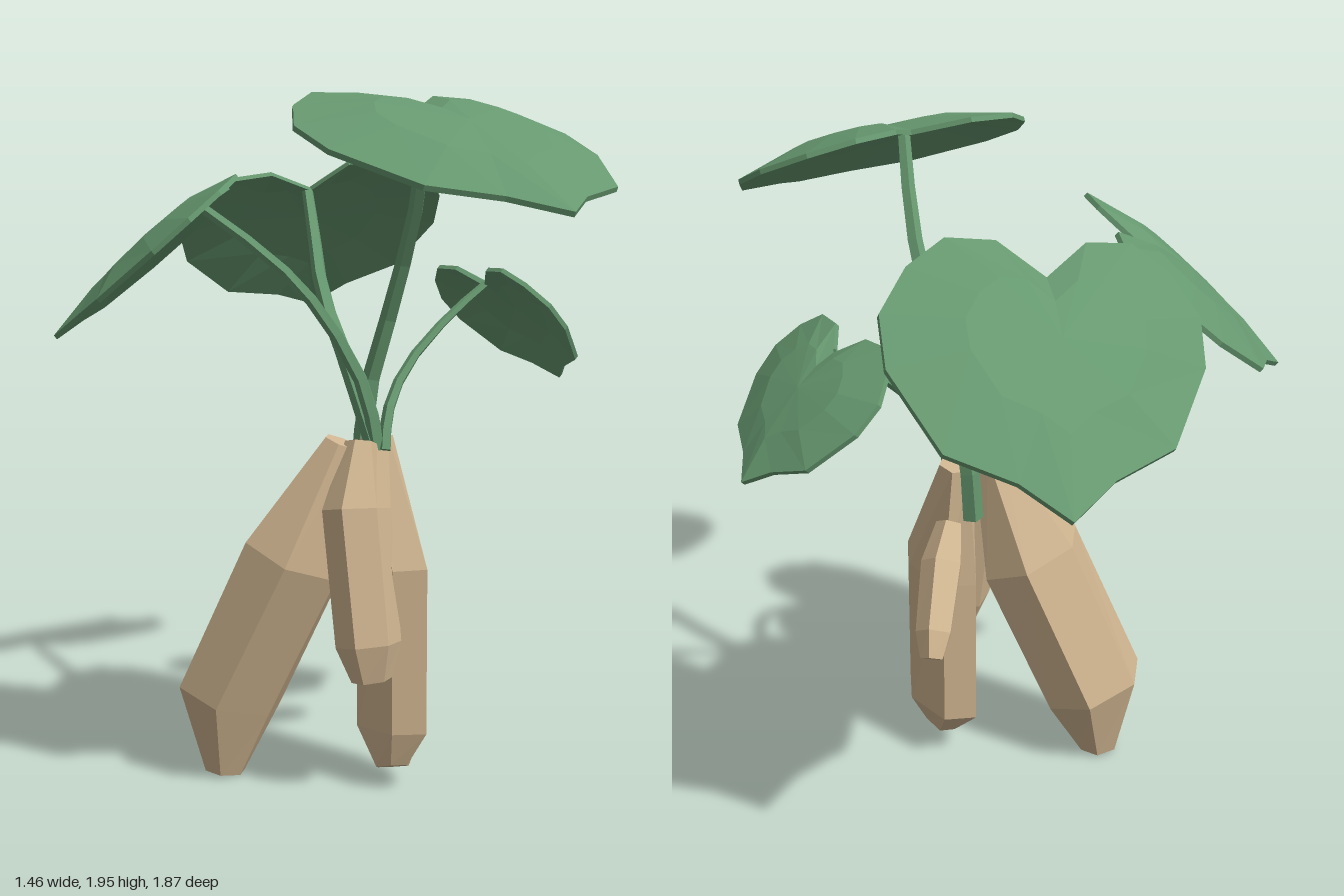
import * as THREE from 'three';

const leafGreen = new THREE.MeshStandardMaterial({ name: 'leaf green', color: 0x66986f, flatShading: true });
const tuberTan = new THREE.MeshStandardMaterial({ name: 'tuber tan', color: 0xcfb590, flatShading: true });

const V = (p) => new THREE.Vector3(...p);

function meshFrom(name, points, index, material) {
  const g = new THREE.BufferGeometry().setFromPoints(points);
  g.setIndex(index);
  const flat = g.toNonIndexed();
  flat.computeVertexNormals();
  const mesh = new THREE.Mesh(flat, material);
  mesh.name = name;
  return mesh;
}

// Faceted body through rings of [x, y, z, radiusAcross, radiusDeep], capped at both ends
function loft(name, rings, sides, material, turn = 0) {
  const centres = rings.map((r) => V(r.slice(0, 3)));
  const pts = [], idx = [], last = rings.length - 1;
  rings.forEach((r, k) => {
    const t = centres[Math.min(k + 1, last)].clone().sub(centres[Math.max(k - 1, 0)]).normalize();
    const u = new THREE.Vector3(1, 0, 0).addScaledVector(t, -t.x).normalize();
    const w = t.clone().cross(u);
    for (let i = 0; i < sides; i++) {
      const a = turn + (i / sides) * Math.PI * 2;
      pts.push(centres[k].clone()
        .addScaledVector(u, Math.cos(a) * r[3])
        .addScaledVector(w, Math.sin(a) * (r[4] ?? r[3])));
    }
  });
  for (let k = 0; k < last; k++) {
    for (let i = 0; i < sides; i++) {
      const j = (i + 1) % sides, a = k * sides, b = a + sides;
      idx.push(a + i, a + j, b + j, a + i, b + j, b + i);
    }
  }
  for (let i = 1; i < sides - 1; i++) {
    const e = last * sides;
    idx.push(0, i + 1, i, e, e + i, e + i + 1);
  }
  return meshFrom(name, pts, idx, material);
}

// Half of the heart outline, from notch to tip: across, along
const half = [[0, 0], [0.12, -0.12], [0.25, -0.13], [0.35, -0.04], [0.42, 0.1],
  [0.41, 0.26], [0.29, 0.5], [0.12, 0.59], [0, 0.7]];
const heart = [...half, ...half.slice(1, -1).reverse().map(([u, v]) => [-u, v])];

// Thin domed heart leaf; side is the vector from midrib to its widest edge
function leaf(name, notch, tip, sideVector) {
  const n0 = V(notch), along = V(tip).sub(n0), side = V(sideVector);
  const normal = along.clone().cross(side).normalize();
  const size = along.length() / 0.7, n = heart.length;
  const place = (u, v, h) => n0.clone()
    .addScaledVector(side, u / 0.42)
    .addScaledVector(along, v / 0.7)
    .addScaledVector(normal, h);
  const pts = [], idx = [];
  for (const drop of [0, 0.014]) {
    for (const [scale, lift] of [[1, 0], [0.55, 0.035]]) {
      for (const [u, v] of heart) {
        const sag = scale === 1 ? -0.06 * Math.abs(u) : 0;
        pts.push(place(u * scale, 0.22 + (v - 0.22) * scale, (lift + sag) * size - drop));
      }
    }
    pts.push(place(0, 0.22, 0.05 * size - drop));
  }
  const under = 2 * n + 1;
  for (let i = 0; i < n; i++) {
    const j = (i + 1) % n;
    const top = [i, n + j, j, i, n + i, n + j, n + i, 2 * n, n + j];
    idx.push(...top);
    for (let k = 0; k < 9; k += 3) idx.push(under + top[k], under + top[k + 2], under + top[k + 1]);
    // rim
    idx.push(i, j, under + j, i, under + j, under + i);
  }
  return meshFrom(name, pts, idx, leafGreen);
}

// Slim tapering stalk along a few points
function stem(name, points, thick, thin) {
  const curve = new THREE.CatmullRomCurve3(points.map(V));
  const rings = curve.getPoints(7).map((p, i) => [p.x, p.y, p.z, thick + (thin - thick) * (i / 7)]);
  return loft(name, rings, 5, leafGreen);
}

export function createModel() {
  const plant = new THREE.Group();
  plant.name = 'tuberPlant';

  // Tubers
  plant.add(
    loft('backTuber', [
      [-0.08, 1.03, 0.06, 0.05], [-0.175, 0.7, -0.03, 0.165, 0.15],
      [-0.305, 0.27, -0.19, 0.165, 0.14], [-0.325, 0.04, -0.195, 0.06]], 6, tuberTan, 0.2),
    loft('middleTuber', [
      [0.05, 1.03, 0.04, 0.05], [0.05, 0.67, 0.12, 0.09, 0.155],
      [0.05, 0.2, 0.12, 0.09, 0.155], [0.03, 0.09, 0.16, 0.045, 0.065]], 6, tuberTan, 0.3),
    loft('frontTuber', [
      [-0.04, 1.03, 0.1, 0.045], [-0.08, 0.85, 0.14, 0.1, 0.085],
      [-0.085, 0.48, 0.21, 0.095, 0.085], [-0.08, 0.38, 0.22, 0.06, 0.05]], 6, tuberTan, 0.4),
    loft('sideRoot', [
      [0.08, 0.85, 0.03, 0.04], [0.14, 0.76, -0.02, 0.065, 0.06],
      [0.24, 0.61, -0.12, 0.055], [0.27, 0.55, -0.15, 0.035]], 5, tuberTan, 0.5),
  );

  // Stems
  plant.add(
    stem('frontStem', [[0.05, 0.89, -0.04], [0.07, 1.15, -0.03], [0.1, 1.45, 0.07],
      [0.08, 1.7, 0.2], [0.03, 1.92, 0.31]], 0.032, 0.018),
    stem('backStem', [[0.03, 1, 0.07], [0.0, 1.25, -0.04], [0.02, 1.43, -0.2],
      [0.08, 1.6, -0.35], [0.13, 1.73, -0.47]], 0.028, 0.018),
    stem('rightStem', [[0.03, 1, 0.08], [0, 1.17, 0.06], [-0.1, 1.38, 0],
      [-0.2, 1.52, -0.08], [-0.36, 1.68, -0.23]], 0.024, 0.015),
    stem('leftStem', [[0.04, 1, 0.1], [0.07, 1.1, 0.07], [0.15, 1.22, 0.04],
      [0.3, 1.36, 0.035], [0.44, 1.46, 0.04]], 0.02, 0.011),
  );

  // Leaves
  plant.add(
    leaf('frontLeaf', [0.02, 1.94, 0.29], [0.02, 1.67, 0.93], [0.43, 0, 0]),
    leaf('backLeaf', [0.13, 1.74, -0.46], [0.42, 1.36, -0.94], [-0.41, -0.06, -0.105]),
    leaf('rightLeaf', [-0.36, 1.69, -0.23], [-0.72, 1.32, -0.45], [-0.14, 0.03, 0.3]),
    leaf('leftLeaf', [0.44, 1.46, 0.04], [0.74, 1.17, 0.03], [0, 0, -0.26]),
  );
  return plant;
}
